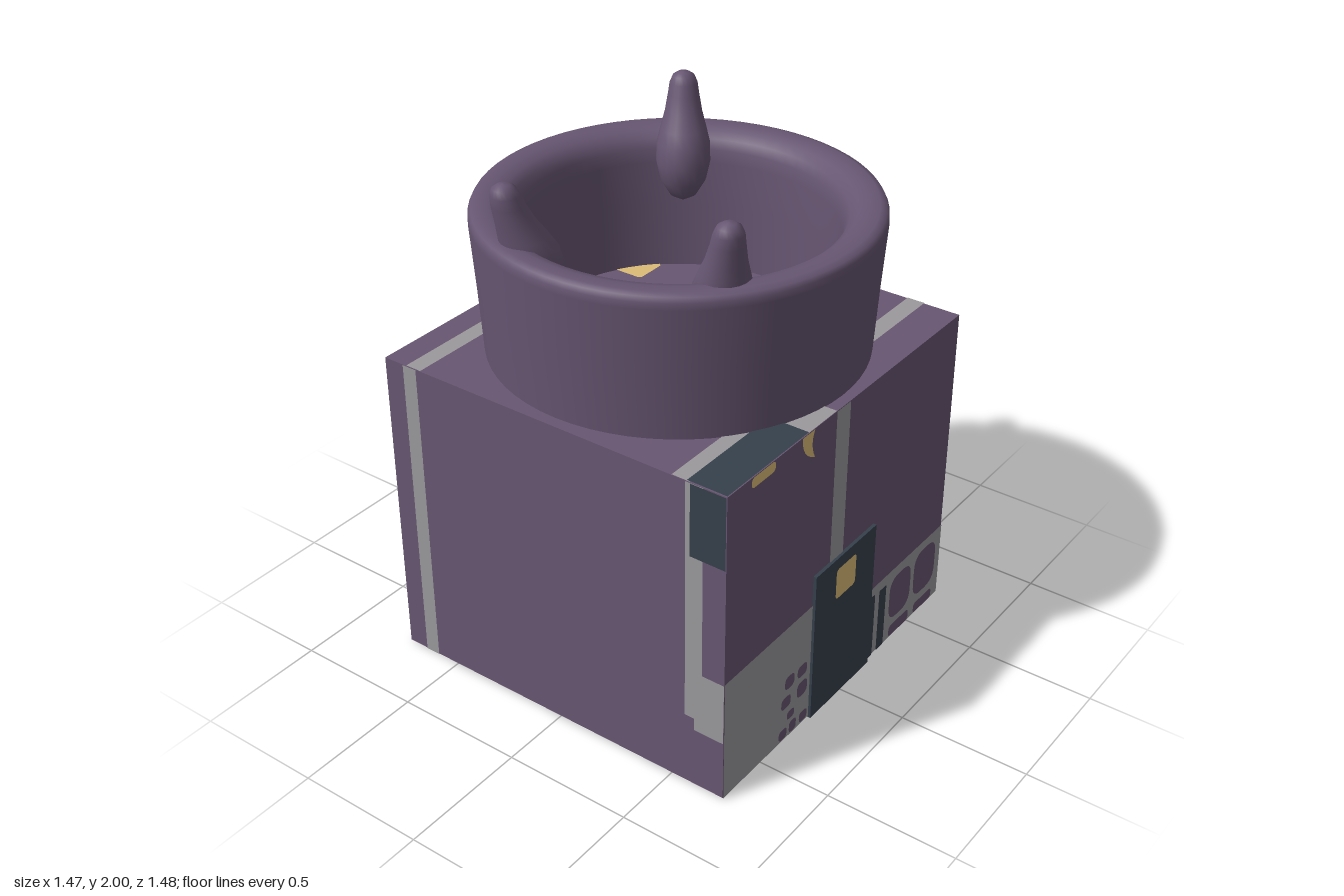
import * as THREE from 'three';

const mat = (name, color, side = THREE.FrontSide) => {
  const m = new THREE.MeshStandardMaterial({ color, side });
  m.name = name;
  return m;
};

export function createModel() {
  const purple = mat('purple', 0x675672);
  const grey = mat('grey', 0x9b999c);
  const yellow = mat('yellow', 0xdcbd76);
  const dark = mat('dark slate', 0x36414c);

  const model = new THREE.Group();
  model.name = 'tower';
  const X0 = -0.73, X1 = 0.725, Z0 = -0.735, Z1 = 0.72, Y0 = 0.006, Y1 = 1.25;

  const add = (parent, name, geometry, material) => {
    const m = new THREE.Mesh(geometry, material);
    m.name = name;
    parent.add(m);
    return m;
  };
  const box = (name, x0, x1, y0, y1, z0, z1, material) => {
    const m = add(model, name, new THREE.BoxGeometry(x1 - x0, y1 - y0, z1 - z0), material);
    m.position.set((x0 + x1) / 2, (y0 + y1) / 2, (z0 + z1) / 2);
    return m;
  };

  // Square body and front door
  box('body', X0, X1, Y0, Y1, Z0, Z1, purple);
  box('door', -0.2, 0.195, 0, 0.63, Z1 - 0.02, 0.733, dark);

  // Flared hollow ring with a rounded rim
  const profile = [
    [0.685, 1.24], [0.7, 1.5], [0.717, 1.74], [0.716, 1.765], [0.707, 1.782], [0.685, 1.79], [0.645, 1.789],
    [0.61, 1.778], [0.583, 1.755], [0.568, 1.72], [0.562, 1.67], [0.558, 1.5], [0.556, 1.24],
  ].map(([r, y]) => new THREE.Vector2(r, y));
  const ring = add(model, 'ring', new THREE.LatheGeometry(profile, 64), purple);
  ring.position.z = -0.006;

  // Three horns growing from the inner wall and leaning outward
  const hornProfile = [
    [0.0, 1.52], [0.05, 1.55], [0.085, 1.61], [0.1, 1.68], [0.098, 1.75], [0.085, 1.8],
    [0.068, 1.86], [0.057, 1.92], [0.051, 1.96], [0.04, 1.985], [0.022, 1.997], [0, 2],
  ].map(([r, y]) => new THREE.Vector2(r, y));
  for (const [x, z] of [[0.51, -0.36], [-0.61, -0.25], [-0.41, 0.49]]) {
    const g = new THREE.LatheGeometry(hornProfile, 20);
    const p = g.attributes.position;
    const reach = Math.hypot(x, z);
    for (let i = 0; i < p.count; i++) {
      const t = THREE.MathUtils.smoothstep(p.getY(i), 1.65, 2.0);
      p.setX(i, p.getX(i) + THREE.MathUtils.lerp(0.555, reach, t));
    }
    g.computeVertexNormals();
    add(model, 'horn', g, purple).rotation.y = -Math.atan2(z, x);
  }

  // Painted faces: each side is a group with u to the right and v up
  const side = (name, pos, rx, ry) => {
    const g = new THREE.Group();
    g.name = name;
    g.position.set(...pos);
    g.rotation.set(rx, ry, 0);
    model.add(g);
    return g;
  };
  const H = Math.PI / 2;
  const front = side('frontPaint', [0, 0, Z1], 0, 0);        // u = x
  const right = side('sidePaint', [X1, 0, 0], 0, H);         // u = -z
  const back = side('backPaint', [0, 0, Z0], 0, Math.PI);    // u = -x
  const left = side('otherSidePaint', [X0, 0, 0], 0, -H);    // u = z
  const top = side('topPaint', [0, Y1, 0], -H, 0);           // u = x, v = -z
  const bottom = side('bottomPaint', [0, Y0, 0], H, 0);      // u = x, v = z

  const paint = (parent, name, shape, material, layer) => {
    add(parent, name, new THREE.ShapeGeometry(shape, 6), material).position.z = 0.0025 * layer;
  };
  // Rectangle with rounded corners; lean shifts the upper edge sideways
  const patch = (parent, name, u0, v0, u1, v1, material, layer = 1, r = 0, lean = 0) => {
    const c = [[u0, v0], [u1, v0], [u1 + lean, v1], [u0 + lean, v1]].map((a) => new THREE.Vector2(...a));
    const s = new THREE.Shape();
    c.forEach((p, i) => {
      const a = c[(i + 3) % 4], b = c[(i + 1) % 4];
      const from = p.clone().add(a.clone().sub(p).setLength(r));
      const to = p.clone().add(b.clone().sub(p).setLength(r));
      if (i) s.lineTo(from.x, from.y); else s.moveTo(from.x, from.y);
      if (r) s.quadraticCurveTo(p.x, p.y, to.x, to.y);
    });
    s.closePath();
    paint(parent, name, s, material, layer);
  };
  const stone = (parent, list, layer = 2) => list.forEach(([a, b, c, d, lean = 0]) =>
    patch(parent, 'stone', a, b, c, d, purple, layer, Math.min(c - a, d - b) * 0.4, lean));
  const bar = (parent, u0, u1, h) => patch(parent, 'darkBar', u0, Y0, u1, h, dark, 2, 0.008);
  const windowPane = (parent, u0, v0, u1, v1) => patch(parent, 'window', u0, v0, u1, v1, yellow, 1, 0.018);

  // Front: base bands, stripe, windows
  patch(front, 'baseBand', X0, Y0, -0.19, 0.505, grey);
  patch(front, 'baseBand', 0.19, Y0, X1, 0.325, grey);
  patch(front, 'stripe', -0.1, 0.5, -0.015, Y1, grey);
  bar(front, 0.196, 0.235, 0.29);
  bar(front, 0.265, 0.315, 0.285);
  stone(front, [
    [0.345, 0.09, 0.5, 0.285], [0.525, 0.09, 0.685, 0.29], [0.355, 0.01, 0.5, 0.06], [0.54, 0.01, 0.675, 0.055],
    [-0.365, 0.23, -0.305, 0.285], [-0.285, 0.23, -0.225, 0.28], [-0.385, 0.15, -0.325, 0.2], [-0.285, 0.14, -0.22, 0.205],
    [-0.345, 0.085, -0.3, 0.12], [-0.395, 0.015, -0.345, 0.06], [-0.33, 0.015, -0.285, 0.065], [-0.265, 0.015, -0.215, 0.06],
  ]);
  windowPane(front, -0.6, 1.21, -0.465, Y1);
  const crescent = new THREE.Shape();
  crescent.moveTo(-0.31, Y1);
  crescent.quadraticCurveTo(-0.31, 1.17, -0.23, 1.14);
  crescent.quadraticCurveTo(-0.265, 1.2, -0.235, Y1);
  paint(front, 'crescentWindow', crescent, yellow, 1);
  const pane = new THREE.Group();
  pane.name = 'doorPane';
  pane.position.z = 0.733 - Z1;
  front.add(pane);
  windowPane(pane, -0.07, 0.455, 0.06, 0.585);

  // Side at +x: stripes, stone base, three windows
  patch(right, 'baseBand', -0.58, Y0, 0.63, 0.435, grey);
  patch(right, 'baseBand', -Z1, Y0, -0.57, 0.325, grey);
  patch(right, 'baseBand', 0.62, Y0, 0.68, 0.52, grey, 1, 0.02);
  patch(right, 'baseBand', 0.65, Y0, -Z0, 0.32, grey);
  patch(right, 'stripe', -0.575, 0.42, -0.53, Y1, grey, 1, 0, 0.02);
  patch(right, 'stripe', 0.59, 0.42, 0.635, Y1, grey, 1, 0, -0.01);
  bar(right, -0.495, -0.44, 0.4);
  bar(right, 0.655, 0.71, 0.305);
  stone(right, [
    [-0.72, 0.1, -0.605, 0.275], [-0.7, 0.01, -0.65, 0.05], [-0.63, 0.01, -0.58, 0.05],
    [-0.38, 0.02, -0.23, 0.395, -0.02], [-0.15, 0.02, 0.0, 0.395, -0.02], [0.075, 0.01, 0.21, 0.4, -0.01],
    [0.225, 0.02, 0.34, 0.4, 0.01], [0.375, 0.02, 0.535, 0.395, 0.02],
  ]);
  for (const u of [-0.465, -0.05, 0.38]) windowPane(right, u, 1.14, u + 0.13, Y1);

  // Back: stone base, window, grey panel with a curved purple band
  patch(back, 'baseBand', -X1, Y0, 0.08, 0.385, grey);
  patch(back, 'panel', 0.06, Y0, -X0, Y1, grey);
  windowPane(back, -0.45, 1.06, -0.31, 1.18);
  bar(back, -0.71, -0.68, 0.32);
  for (let i = 0; i < 6; i++) {
    const u = -0.65 + i * 0.118;
    stone(back, [[u, 0.15, u + 0.085, 0.33, -0.015], [u + 0.01, 0.02, u + 0.08, 0.11]]);
  }
  stone(back, [[0.1, 0.03, 0.17, 0.46], [0.21, 0.02, 0.28, 0.4], [0.4, 0.02, 0.53, 0.46, -0.1], [0.6, 0.02, 0.71, 0.4, -0.03]]);
  const arc = new THREE.Shape();
  arc.moveTo(0.09, Y1);
  arc.lineTo(0.24, Y1);
  arc.bezierCurveTo(0.24, 0.95, 0.45, 0.82, -X0, 0.76);
  arc.lineTo(-X0, 0.58);
  arc.bezierCurveTo(0.4, 0.62, 0.09, 0.85, 0.09, Y1);
  paint(back, 'curvedBand', arc, purple, 2);

  // Side at -x: corner stripes and dark top corner
  patch(left, 'stripe', -0.65, Y0, -0.59, Y1, grey);
  patch(left, 'stripe', 0.56, 0.3, 0.63, Y1, grey);
  patch(left, 'stripe', 0.6, 0.25, Z1, 0.5, grey);
  patch(left, 'darkCorner', 0.58, 0.97, Z1, Y1, dark, 2);

  // Top: stripes, dark corner and windows inside the ring
  patch(top, 'stripe', X0, 0.57, X1, 0.635, grey);
  patch(top, 'stripe', X0, -0.575, X1, -0.505, grey);
  patch(top, 'stripe', -0.262, -0.51, -0.23, 0.58, grey);
  patch(top, 'frontPatch', -0.27, -Z1, -0.1, -0.57, grey);
  patch(top, 'darkCorner', X0, -Z1, -0.27, -0.565, dark, 2);
  for (const v of [0.38, -0.05, -0.465]) windowPane(top, 0.265, v, 0.4, v + 0.135);

  // Underside: grey with rows of small stones near one edge
  patch(bottom, 'underside', X0, Z0, X1, Z1, grey);
  for (let i = 0; i < 11; i++) {
    const v = -0.66 + i * 0.125;
    stone(bottom, [[0.61, v, 0.68, v + 0.08], [0.5, v + 0.02, 0.55, v + 0.07]]);
  }
  return model;
}
